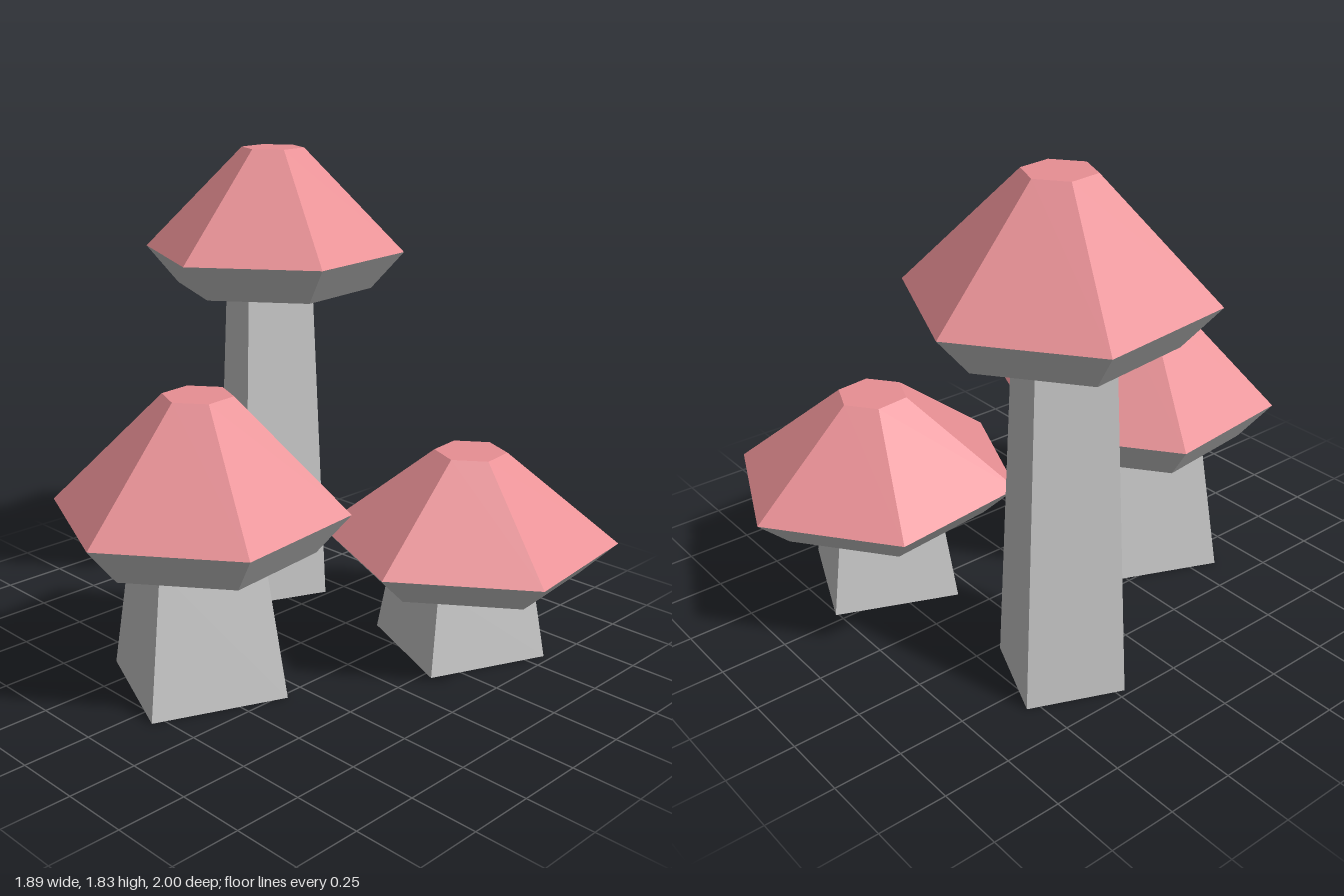
import * as THREE from 'three';

const grey = new THREE.MeshStandardMaterial({ color: 0xcccccc, flatShading: true });
const pink = new THREE.MeshStandardMaterial({ color: 0xe88f94, flatShading: true });

// Faceted solid of revolution from [radius, height] pairs, listed bottom to top
function faceted(name, profile, sides, degrees, material) {
  const points = profile.map(([r, y]) => new THREE.Vector2(r, y));
  const mesh = new THREE.Mesh(new THREE.LatheGeometry(points, sides), material);
  mesh.rotation.y = THREE.MathUtils.degToRad(degrees);
  mesh.name = name;
  return mesh;
}

function mushroom({ name, x, z, under, rim, top, rUnder, rRim, rTop, rFoot, rNeck }) {
  const group = new THREE.Group();
  group.name = name;
  group.position.set(x, 0, z);

  // Square tapered stem, slightly off the cap's axis
  const stem = faceted('stem', [[0, 0], [rFoot, 0], [rNeck, under], [0, under]], 4, 22, grey);
  stem.position.x = -0.026;

  // Six-sided cap: grey underside and brim, coloured crown with a flat top
  const brim = faceted('capUnderside', [[0, under], [rUnder, under], [rRim, rim]], 6, 6.7, grey);
  const crown = faceted('capCrown', [[rRim, rim], [rTop, top], [0, top]], 6, 6.7, pink);

  group.add(stem, brim, crown);
  return group;
}

export function createModel() {
  const model = new THREE.Group();
  model.name = 'mushroomCluster';
  model.add(
    mushroom({
      name: 'tallMushroom', x: -0.472, z: -0.312, under: 1.29, rim: 1.435, top: 1.83,
      rUnder: 0.388, rRim: 0.515, rTop: 0.122, rFoot: 0.25, rNeck: 0.188,
    }),
    mushroom({
      name: 'frontMushroom', x: -0.025, z: 0.467, under: 0.53, rim: 0.677, top: 1.083,
      rUnder: 0.408, rRim: 0.532, rTop: 0.126, rFoot: 0.352, rNeck: 0.265,
    }),
    mushroom({
      name: 'shortMushroom', x: 0.437, z: -0.45, under: 0.323, rim: 0.445, top: 0.778,
      rUnder: 0.424, rRim: 0.554, rTop: 0.134, rFoot: 0.335, rNeck: 0.275,
    }),
  );
  return model;
}
